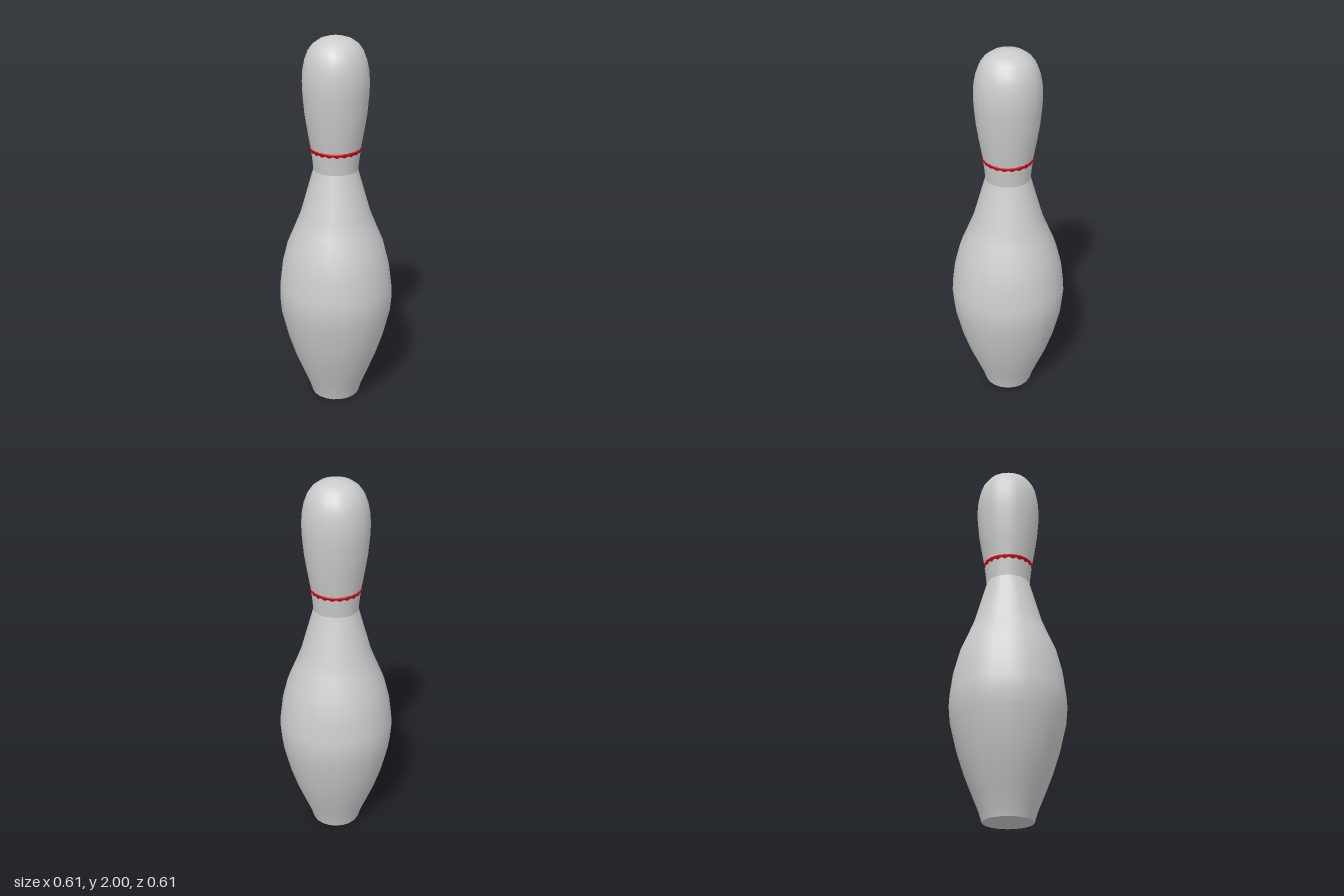
import * as THREE from 'three';

const SIDES = 20;

export function createModel() {
  const group = new THREE.Group();
  group.name = 'bowlingPin';
  const grey = new THREE.MeshStandardMaterial({ color: 0xcccccc });
  const red = new THREE.MeshStandardMaterial({ color: 0xcc0a12 });

  // Turned part from [radius, height] pairs, listed bottom to top
  const turn = (name, profile, material = grey) => {
    const points = profile.map(([r, y]) => new THREE.Vector2(r, y));
    const mesh = new THREE.Mesh(new THREE.LatheGeometry(points, SIDES), material);
    mesh.name = name;
    group.add(mesh);
    return mesh;
  };

  // Flat underside
  turn('base', [[0, 0], [0.13, 0]]);

  // Swelling body
  turn('body', [
    [0.13, 0], [0.145, 0.05], [0.176, 0.125], [0.222, 0.24], [0.261, 0.36],
    [0.297, 0.51], [0.305, 0.6], [0.302, 0.66], [0.287, 0.78], [0.259, 0.89],
    [0.217, 0.99], [0.185, 1.07], [0.117, 1.31],
  ]);

  // Narrow neck
  turn('neck', [[0.117, 1.31], [0.122, 1.36], [0.13, 1.425]]);

  // Rounded head
  turn('head', [
    [0.13, 1.425], [0.146, 1.515], [0.161, 1.61], [0.17, 1.71], [0.172, 1.77],
    [0.168, 1.83], [0.158, 1.88], [0.141, 1.925], [0.115, 1.96], [0.08, 1.984],
    [0.04, 1.996], [0, 2],
  ]);

  // Neck stripe, turned half a facet so its lower edge breaks into teeth
  const stripe = turn('neckStripe', [[0.1232, 1.398], [0.1335, 1.42], [0.1335, 1.427], [0.128, 1.43]], red);
  stripe.rotation.y = Math.PI / SIDES;

  return group;
}
